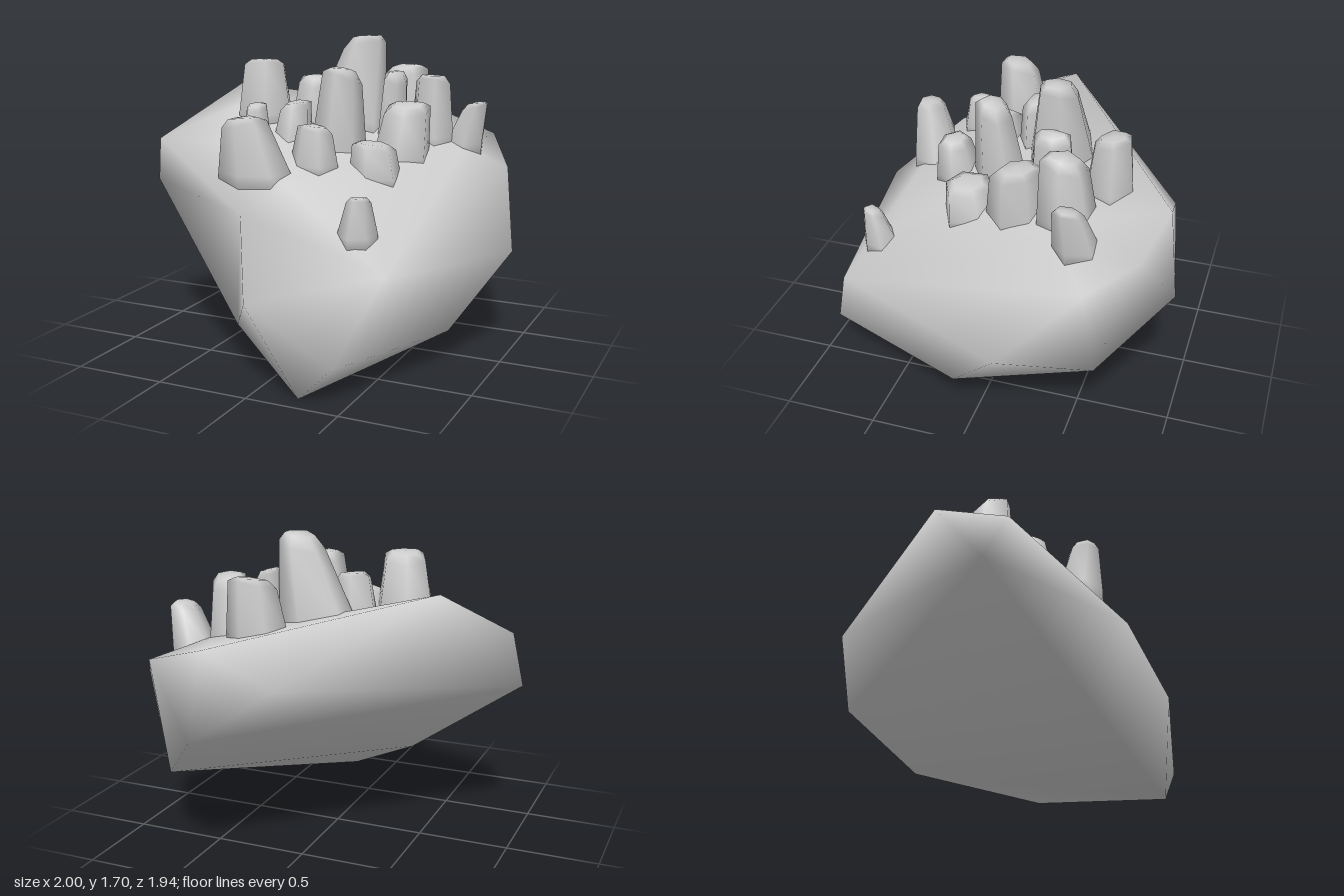
import * as THREE from 'three';
import { mergeVertices } from 'three/addons/utils/BufferGeometryUtils.js';
import { ConvexGeometry } from 'three/addons/geometries/ConvexGeometry.js';

const material = new THREE.MeshStandardMaterial({ color: 0xcccccc });

// Weld shared corners so the surface shades smoothly
function smooth(geometry) {
  geometry.deleteAttribute('normal');
  geometry.deleteAttribute('uv');
  const welded = mergeVertices(geometry, 1e-4);
  welded.computeVertexNormals();
  return welded;
}

// Boulder corners, [x, y, z]
const boulderCorners = [
  // pointed right end
  [-1, 0.87, 0.2], [-0.91, 1.13, 0.31], [-0.63, 1.41, -0.15],
  // back
  [-0.03, 1.02, -0.87], [0.35, 1.2, -0.91], [0.4, 0.73, -0.97], [0.69, 1.1, -0.83],
  // left end
  [0.85, 0.95, -0.58], [1, 0.57, -0.18], [0.72, 0.41, -0.63], [0.75, 0.18, 0.13],
  // front and foot
  [0.65, 0.64, 0.78], [0.44, 0.2, 0.945], [0.24, 0, 0.9], [-0.02, 0.47, 0.97],
  [-0.22, 0.25, 0.68],
  // sloping top
  [0.4, 0.82, 0.62], [0.32, 1.02, 0.28], [0.75, 0.76, 0.15], [0.5, 1.16, -0.45],
  [0.65, 1.08, -0.4], [-0.35, 1.16, 0.45], [0, 1.0, 0.58], [-0.5, 1.32, 0.12],
];
// Front corner hulled at the first place, then pulled in to form the notch
const notch = { outer: new THREE.Vector3(-0.28, 0.8, 0.92), inner: new THREE.Vector3(-0.13, 0.87, 0.79) };

function boulderGeometry() {
  const points = boulderCorners.map((c) => new THREE.Vector3(...c));
  const hull = new ConvexGeometry([...points, notch.outer]);
  const p = hull.attributes.position;
  const v = new THREE.Vector3();
  for (let i = 0; i < p.count; i++) {
    if (v.fromBufferAttribute(p, i).distanceTo(notch.outer) < 1e-3) {
      p.setXYZ(i, ...notch.inner.toArray());
    }
  }
  return smooth(hull);
}

// Crystals: x, z, half width, half depth, base y, top y, tip lean in x, tip lean in z, taper
const crystals = [
  [-0.18, 0.54, 0.18, 0.14, 1.02, 1.33, -0.04, 0.05, 0.62],
  [-0.29, 0.31, 0.08, 0.1, 1.17, 1.36, 0, 0, 0.72],
  [0.05, 0.32, 0.13, 0.12, 1.05, 1.27, 0.02, 0.02, 0.72],
  [-0.36, 0.08, 0.155, 0.15, 1.27, 1.58, 0.01, 0.02, 0.76],
  [-0.16, 0.14, 0.11, 0.13, 1.15, 1.36, 0.02, 0, 0.8],
  [-0.15, -0.08, 0.125, 0.12, 1.18, 1.48, 0.03, 0, 0.8],
  [0.08, 0.07, 0.145, 0.14, 1.08, 1.55, 0.04, 0.03, 0.7],
  [0, -0.25, 0.235, 0.18, 1.2, 1.7, 0.11, 0, 0.58],
  [0.21, -0.56, 0.15, 0.14, 1.2, 1.51, 0.02, -0.01, 0.78],
  [0.26, -0.27, 0.08, 0.13, 1.15, 1.5, 0.02, 0, 0.8],
  [0.45, -0.4, 0.125, 0.15, 1.12, 1.48, 0.01, 0.02, 0.8],
  [0.61, -0.49, 0.11, 0.13, 1.08, 1.33, 0.08, 0.03, 0.68],
  [0.37, -0.12, 0.17, 0.155, 1.04, 1.35, 0.04, 0, 0.82],
  [0.33, 0.15, 0.14, 0.155, 0.98, 1.17, 0, 0.02, 0.85],
  [0.44, 0.64, 0.095, 0.1, 0.78, 0.99, 0.02, 0.03, 0.6],
];

// Tapered six-sided column with a blunt, slanted tip and a buried foot
function crystalGeometry([, , w, d, y0, y1, leanX, leanZ, taper], seed) {
  const profile = [[0, -0.35], [1, -0.35], [1, 0.05], [taper, 0.88], [taper * 0.65, 1], [0, 1.02]]
    .map(([r, y]) => new THREE.Vector2(r, y));
  const geometry = new THREE.LatheGeometry(profile, 6, seed * 0.9);
  const p = geometry.attributes.position;
  for (let i = 0; i < p.count; i++) {
    const x = p.getX(i), y = p.getY(i), z = p.getZ(i);
    const wobble = 1 + 0.09 * Math.sin(2 * Math.atan2(z, x) + seed * 2.3);
    const slant = y > 0.5 ? 0.12 * (x * Math.sin(seed * 1.7) + z * Math.cos(seed * 1.7)) : 0;
    const lean = Math.max(0, y);
    p.setXYZ(i, x * w * wobble + leanX * lean, Math.min(1, y + slant) * (y1 - y0),
      z * d * wobble + leanZ * lean);
  }
  return smooth(geometry);
}

export function createModel() {
  const model = new THREE.Group();
  model.name = 'crystalRock';

  const boulder = new THREE.Mesh(boulderGeometry(), material);
  boulder.name = 'boulder';
  model.add(boulder);

  const cluster = new THREE.Group();
  cluster.name = 'crystalCluster';
  crystals.forEach((c, i) => {
    const crystal = new THREE.Mesh(crystalGeometry(c, i + 1), material);
    crystal.name = `crystal${i + 1}`;
    crystal.position.set(c[0], c[4], c[1]);
    cluster.add(crystal);
  });
  model.add(cluster);
  return model;
}
